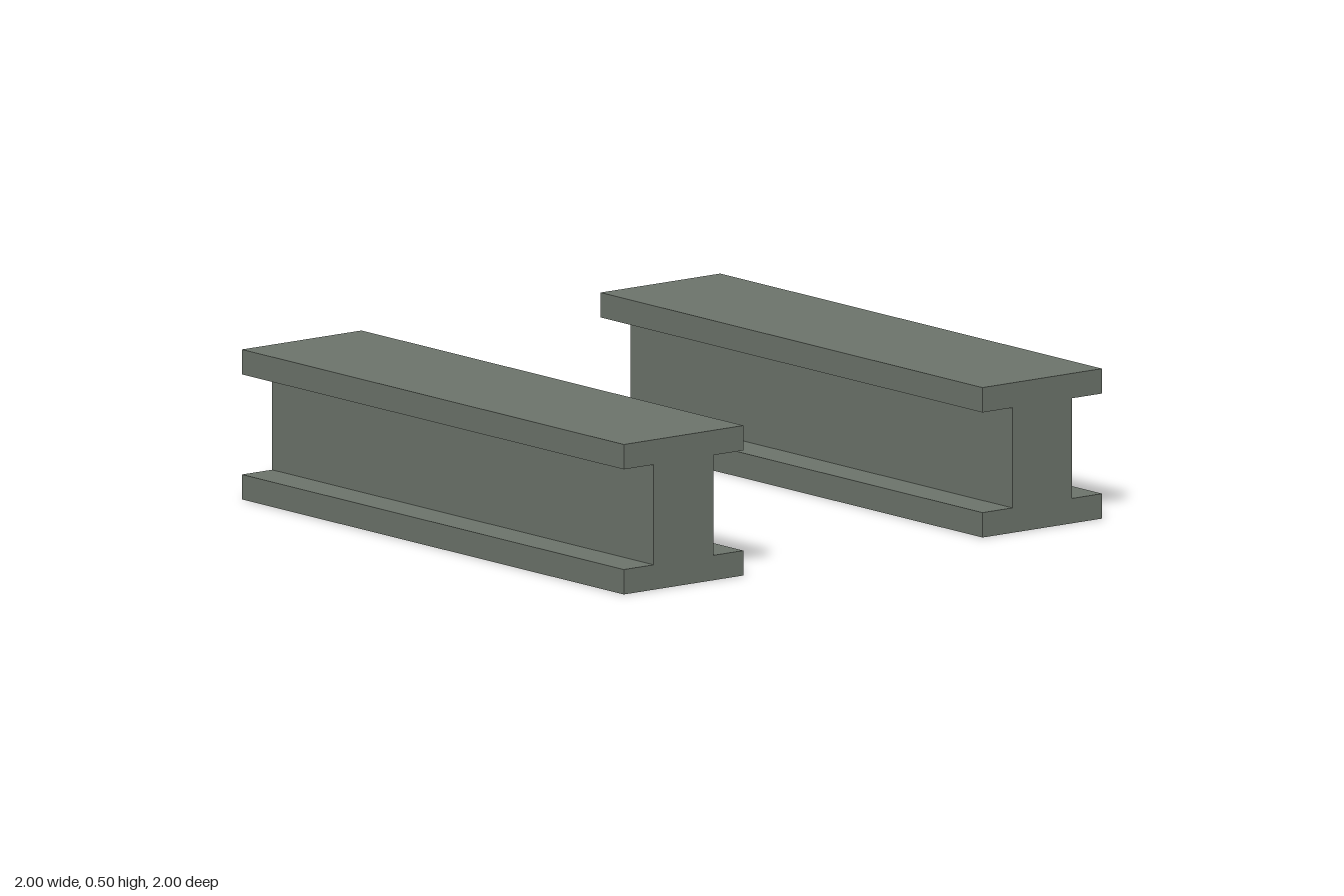
import * as THREE from 'three';

export function createModel() {
  const model = new THREE.Group();
  model.name = 'beamPair';

  const steel = new THREE.MeshStandardMaterial({ color: 0x6c746b });
  steel.name = 'grey green steel';

  // I-shaped cross-section, extruded along z
  const length = 2, height = 0.5, flange = 0.25, web = 0.125, thick = 0.083;
  const half = [
    [flange, 0], [flange, thick], [web, thick],
    [web, height - thick], [flange, height - thick], [flange, height],
  ];
  const mirrored = half.map(([x, y]) => [-x, y]).reverse();
  const profile = new THREE.Shape([...half, ...mirrored].map(([x, y]) => new THREE.Vector2(x, y)));
  const geometry = new THREE.ExtrudeGeometry(profile, { depth: length, bevelEnabled: false });
  geometry.translate(0, 0, -length / 2);

  // One beam on each side
  for (const [name, x] of [['leftBeam', 0.75], ['rightBeam', -0.75]]) {
    const beam = new THREE.Mesh(geometry, steel);
    beam.name = name;
    beam.position.x = x;
    model.add(beam);
  }
  return model;
}
